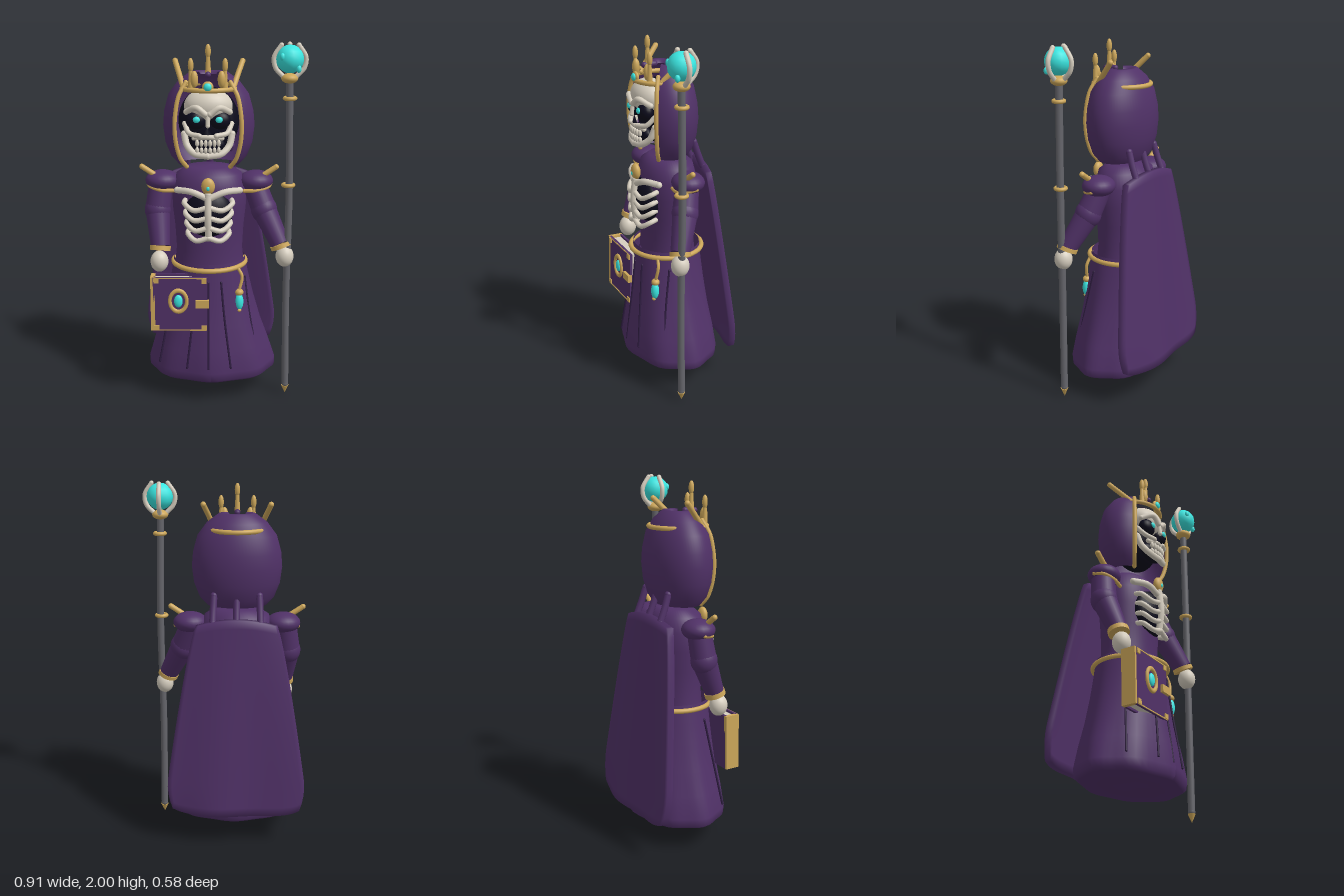
import * as THREE from 'three';
import { mergeVertices } from 'three/addons/utils/BufferGeometryUtils.js';

const mat = (name, color, side = THREE.FrontSide) => {
  const m = new THREE.MeshStandardMaterial({ color, side });
  m.name = name;
  return m;
};

export function createModel() {
  const purple = mat('purple cloth', 0x503167, THREE.DoubleSide);
  const crease = mat('dark crease', 0x2e1c40);
  const gold = mat('gold', 0xcda75a);
  const bone = mat('bone', 0xd6cebf);
  const cyan = mat('cyan gem', 0x3ae6e1);
  const black = mat('shadow black', 0x0c0b1c, THREE.DoubleSide);
  const steel = mat('staff grey', 0x65656b);

  const root = new THREE.Group();
  const body = new THREE.Group();
  body.name = 'figure';
  body.position.x = -0.07; // the figure stands beside the staff
  root.add(body);

  const add = (name, geo, m, p = [0, 0, 0], parent = body) => {
    const mesh = new THREE.Mesh(geo, m);
    mesh.name = name;
    mesh.position.set(...p);
    parent.add(mesh);
    return mesh;
  };
  const ball = (name, m, p, r, parent) => {
    const mesh = add(name, new THREE.SphereGeometry(1, 24, 16), m, p, parent);
    mesh.scale.set(...r);
    return mesh;
  };
  const box = (name, m, p, s, parent) => add(name, new THREE.BoxGeometry(...s), m, p, parent);
  // round-ended tube through points
  const tube = (name, m, pts, r, parent = body) => {
    const v = pts.map(p => new THREE.Vector3(...p));
    add(name, new THREE.TubeGeometry(new THREE.CatmullRomCurve3(v), 8 * pts.length, r, 10), m, [0, 0, 0], parent);
    for (const p of [pts[0], pts[pts.length - 1]]) ball(name + 'End', m, p, [r, r, r], parent);
  };
  const lathe = (pts, start = 0, len = Math.PI * 2) =>
    new THREE.LatheGeometry(pts.map(p => new THREE.Vector2(...p)), 56, start, len);
  const ring = (name, m, p, r, t, parent) => {
    const mesh = add(name, new THREE.TorusGeometry(r, t, 10, 40), m, p, parent);
    mesh.rotation.x = Math.PI / 2;
    return mesh;
  };

  // Skirt with soft folds that fade out at the waist
  const skirt = lathe([[0, 0.13], [0.2, 0.115], [0.33, 0.118], [0.355, 0.135], [0.357, 0.18], [0.322, 0.3],
    [0.279, 0.43], [0.241, 0.58], [0.217, 0.7], [0.2, 0.8]]);
  const fade = y => Math.max(0, (0.8 - y) / 0.68);
  const depth = y => 0.93 - 0.22 * fade(y);
  const sp = skirt.attributes.position;
  for (let i = 0; i < sp.count; i++) {
    const x = sp.getX(i), y = sp.getY(i), z = sp.getZ(i);
    const f = 1 + 0.025 * fade(y) * Math.cos(8 * Math.atan2(x, z));
    sp.setXYZ(i, x * f + 0.014 * fade(y), y, z * f * depth(y) + 0.025);
  }
  skirt.computeVertexNormals();
  add('skirt', skirt, purple);
  for (const [a, b] of [[-0.07, -0.12], [0, 0], [0.07, 0.125], [-0.2, -0.28], [0.2, 0.28]]) {
    const line = [[0.217, 0.7], [0.262, 0.5], [0.304, 0.35], [0.347, 0.21]].map(([r, y], i) => {
      const x = a + (b - a) * i / 3;
      return [x, y, 0.028 + depth(y) * Math.sqrt(Math.max(0, r * r - x * x))];
    });
    tube('skirtCrease', crease, line, 0.006);
  }

  // Torso, belt and hanging charm
  const torso = add('torso', lathe([[0.195, 0.76], [0.185, 0.85], [0.192, 0.98], [0.205, 1.1], [0.205, 1.2],
    [0.18, 1.28], [0.12, 1.32], [0, 1.325]]), purple, [0, 0, 0.02]);
  torso.scale.z = 0.76;
  ring('belt', gold, [0, 0.77, 0.025], 0.204, 0.014);
  tube('charmCord', gold, [[0.16, 0.77, 0.155], [0.185, 0.72, 0.165], [0.17, 0.64, 0.175]], 0.009);
  ball('charmCap', gold, [0.17, 0.63, 0.176], [0.024, 0.02, 0.024]);
  ball('charmGem', cyan, [0.17, 0.575, 0.178], [0.024, 0.05, 0.024]);
  ball('charmFoot', gold, [0.17, 0.527, 0.185], [0.013, 0.01, 0.013]);

  // Rib cage
  ball('chestHollow', black, [0, 1.08, 0.135], [0.132, 0.14, 0.085]);
  tube('sternum', bone, [[0, 1.2, 0.213], [0, 1.08, 0.225], [0, 0.955, 0.21]], 0.019);
  for (const s of [-1, 1]) {
    tube('collarbone', bone, [[s * 0.17, 1.21, 0.15], [s * 0.09, 1.21, 0.195], [0, 1.175, 0.212]], 0.018);
    for (let i = 0; i < 4; i++) {
      const y = 1.13 - i * 0.057, w = 0.13 - i * 0.006;
      tube('rib', bone, [[0, y, 0.22], [s * w * 0.6, y - 0.018, 0.214], [s * w, y + 0.012, 0.178], [s * w * 0.95, y + 0.025, 0.13]], 0.0145);
    }
  }
  ball('broochSetting', gold, [0, 1.245, 0.21], [0.037, 0.046, 0.025]);
  ball('broochGem', cyan, [0, 1.238, 0.229], [0.011, 0.014, 0.009]);

  // Hood, open at the front and at the crown of the head
  const hoodPts = [[0.165, 1.335], [0.207, 1.38], [0.238, 1.46], [0.249, 1.55], [0.242, 1.63], [0.217, 1.72],
    [0.165, 1.79], [0.1, 1.838], [0.07, 1.84], [0.053, 1.82]];
  const gap = 0.8;
  const hood = add('hood', lathe(hoodPts, gap, Math.PI * 2 - 2 * gap), purple, [0, 0, 0.04]);
  hood.scale.z = 0.7;
  for (const s of [-1, 1]) {
    tube('hoodTrim', gold, hoodPts.slice(0, 7).map(([r, y]) =>
      [s * r * Math.sin(gap), y, 0.045 + r * 0.7 * Math.cos(gap)]), 0.012);
  }
  tube('hoodPeak', purple, [[0, 1.835, 0.09], [0, 1.833, 0.15]], 0.016);

  // Skull
  ball('faceHollow', black, [0, 1.575, 0.055], [0.165, 0.185, 0.12]);
  ball('cranium', bone, [0, 1.665, 0.122], [0.13, 0.095, 0.098]);
  for (const s of [-1, 1]) {
    ball('eyeSocket', black, [s * 0.064, 1.598, 0.175], [0.056, 0.05, 0.042]);
    ball('eye', cyan, [s * 0.06, 1.605, 0.214], [0.019, 0.017, 0.012]);
    tube('brow', bone, [[s * 0.012, 1.635, 0.222], [s * 0.06, 1.668, 0.215], [s * 0.115, 1.64, 0.17]], 0.016);
    tube('cheekbone', bone, [[s * 0.125, 1.575, 0.15], [s * 0.1, 1.53, 0.19], [s * 0.045, 1.52, 0.215]], 0.014);
    tube('jaw', bone, [[s * 0.128, 1.52, 0.15], [s * 0.112, 1.46, 0.17], [s * 0.07, 1.42, 0.2], [0, 1.41, 0.215]], 0.018);
  }
  tube('noseBridge', bone, [[0, 1.63, 0.22], [0, 1.575, 0.228]], 0.012);
  const nose = add('noseHole', new THREE.ConeGeometry(0.026, 0.045, 3), black, [0, 1.548, 0.212]);
  nose.scale.z = 0.5;
  ball('mouthHollow', black, [0, 1.465, 0.165], [0.09, 0.05, 0.04]);
  tube('upperJaw', bone, [[-0.075, 1.503, 0.19], [0, 1.512, 0.212], [0.075, 1.503, 0.19]], 0.013);
  for (let i = 0; i < 6; i++) {
    const x = (i - 2.5) * 0.023, z = 0.216 - x * x * 3;
    ball('upperTooth', bone, [x, 1.479, z], [0.0105, 0.02, 0.011]);
    ball('lowerTooth', bone, [x, 1.441, z], [0.0105, 0.018, 0.011]);
  }

  // Crown
  ring('crownBand', gold, [0, 1.755, 0.045], 0.157, 0.013);
  ball('crownGemSetting', gold, [0, 1.775, 0.2], [0.03, 0.03, 0.014]);
  ball('crownGem', cyan, [0, 1.775, 0.21], [0.021, 0.021, 0.014]);
  const spike = (x, z, base, top) => {
    const h = top - base - 0.035;
    add('crownSpike', new THREE.CylinderGeometry(0.008, 0.016, h, 12), gold, [x, base + h / 2, z]);
    ball('crownTip', gold, [x, top - 0.037, z], [0.015, 0.038, 0.015]);
  };
  spike(0, 0.13, 1.84, 1.99);
  for (const s of [-1, 1]) {
    spike(s * 0.09, 0.16, 1.76, 1.92);
    ball('crownBead', gold, [s * 0.072, 1.81, 0.165], [0.021, 0.045, 0.021]);
    tube('crownHorn', gold, [[s * 0.135, 1.765, 0.11], [s * 0.155, 1.82, 0.06], [s * 0.182, 1.89, -0.005]], 0.015);
  }

  // Arms: [shoulder, elbow, wrist, hand] relative to the body centre
  const arms = [
    [[-0.27, 1.22, 0.02], [-0.288, 1.07, 0.04], [-0.27, 0.88, 0.12], [-0.275, 0.8, 0.145]],
    [[0.25, 1.22, 0.02], [0.305, 1.08, 0.06], [0.395, 0.9, 0.135], [0.42, 0.835, 0.148]],
  ];
  const up = new THREE.Vector3(0, 1, 0);
  const limb = (name, m, a, b, ra, rb) => {
    const A = new THREE.Vector3(...a), B = new THREE.Vector3(...b), d = B.clone().sub(A);
    const mesh = add(name, new THREE.CylinderGeometry(rb, ra, d.length(), 24), m, A.add(B).multiplyScalar(0.5).toArray());
    mesh.quaternion.setFromUnitVectors(up, d.normalize());
    return mesh;
  };
  arms.forEach(([sh, el, wr, ha], i) => {
    const s = i ? 1 : -1;
    limb('upperSleeve', purple, sh, el, 0.065, 0.07);
    ball('elbow', purple, el, [0.073, 0.078, 0.073]);
    limb('lowerSleeve', purple, el, wr, 0.069, 0.053);
    const cuff = limb('cuff', gold, wr, wr.map((c, k) => c + (ha[k] - c) * 0.25), 0.058, 0.058);
    cuff.scale.y = 1.3;
    ball('hand', bone, ha, [0.05, 0.06, 0.05]);
    ball('shoulderPad', purple, [s * 0.26, 1.235, 0.02], [0.095, 0.058, 0.09]);
    tube('shoulderTrim', gold, [[s * 0.195, 1.188, 0.08], [s * 0.265, 1.193, 0.088], [s * 0.325, 1.208, 0.062], [s * 0.342, 1.217, 0.01]], 0.011);
    tube('shoulderSpike', gold, [[s * 0.29, 1.265, 0.05], [s * 0.37, 1.318, 0.05]], 0.015);
  });

  // Cape: a thin slab, widened, curved and rippled
  let cape = new THREE.BoxGeometry(2, 1, 1, 32, 24, 1);
  cape.deleteAttribute('normal');
  cape.deleteAttribute('uv');
  cape = mergeVertices(cape);
  const cp = cape.attributes.position;
  for (let i = 0; i < cp.count; i++) {
    const u = cp.getX(i), t = 0.5 - cp.getY(i), k = cp.getZ(i);
    const w = 0.222 + 0.185 * Math.pow(t, 0.8) - 0.05 * Math.max(0, (t - 0.82) / 0.18) ** 2;
    const y = 1.29 - 1.11 * t - 0.04 * u * u * (1 - t) + 0.03 * u ** 6 * t;
    const top = -0.15 + 0.022 * u * u;
    const hem = -0.232 - 0.03 * (1 - u * u) - 0.01 * Math.sin(5 * u);
    cp.setXYZ(i, u * w, y, top + (hem - top) * t + k * 0.034);
  }
  cape.computeVertexNormals();
  add('cape', cape, purple);
  for (const x of [-0.13, 0, 0.13]) {
    tube('capeTie', purple, [[x, 1.27, -0.135], [x * 0.98, 1.34, -0.108], [x * 0.95, 1.41, -0.085]], 0.019);
  }

  // Book held at the right hand
  const book = new THREE.Group();
  book.name = 'book';
  book.position.set(-0.155, 0.585, 0.214);
  book.rotation.x = -0.02;
  body.add(book);
  box('pages', bone, [-0.005, 0, 0], [0.27, 0.285, 0.055], book);
  for (const s of [-1, 1]) box('cover', purple, [0, 0, s * 0.034], [0.3, 0.31, 0.014], book);
  box('spine', gold, [-0.152, 0, 0], [0.024, 0.31, 0.082], book);
  for (const s of [-1, 1]) {
    box('coverEdge', gold, [0, s * 0.151, 0.042], [0.29, 0.006, 0.005], book);
    for (const c of [-1, 1]) box('bookCorner', gold, [s * 0.132, c * 0.137, 0.043], [0.028, 0.028, 0.01], book);
  }
  const frame = add('gemFrame', new THREE.TorusGeometry(0.047, 0.01, 10, 32), gold, [-0.01, 0.02, 0.045], book);
  frame.scale.y = 1.3;
  ball('bookGem', cyan, [-0.01, 0.02, 0.045], [0.024, 0.036, 0.014], book);
  box('clasp', gold, [0.122, 0.005, 0.046], [0.075, 0.042, 0.024], book);

  // Staff with orb held by three claws
  const staff = new THREE.Group();
  staff.name = 'staff';
  staff.position.set(0.362, 0, 0.147);
  root.add(staff);
  tube('shaft', steel, [[0.005, 0.06, 0], [0, 0.6, 0.002], [0.006, 1.2, -0.002], [-0.004, 1.8, 0]], 0.02, staff);
  const tip = add('staffTip', new THREE.ConeGeometry(0.022, 0.05, 12), gold, [0.005, 0.025, 0], staff);
  tip.rotation.x = Math.PI;
  for (const y of [1.24, 1.71]) ring('staffRing', gold, [0, y, 0], 0.028, 0.011, staff);
  ball('staffCollar', gold, [-0.004, 1.815, 0], [0.045, 0.027, 0.045], staff);
  add('orb', new THREE.SphereGeometry(0.074, 14, 10), cyan, [-0.004, 1.915, 0], staff);
  for (const [x, y, z] of [[-0.046, 1.93, 0.052], [0.04, 1.868, 0.045]]) {
    ball('orbNodule', cyan, [x, y, z], [0.014, 0.02, 0.014], staff);
  }
  for (const a of [0, Math.PI / 2, Math.PI]) {
    const c = Math.cos(a), s = -Math.sin(a);
    tube('claw', bone, [[0.035, 1.825], [0.075, 1.87], [0.083, 1.925], [0.045, 1.987]]
      .map(([r, y]) => [c * r - 0.004, y, s * r]), 0.013, staff);
  }
  return root;
}
